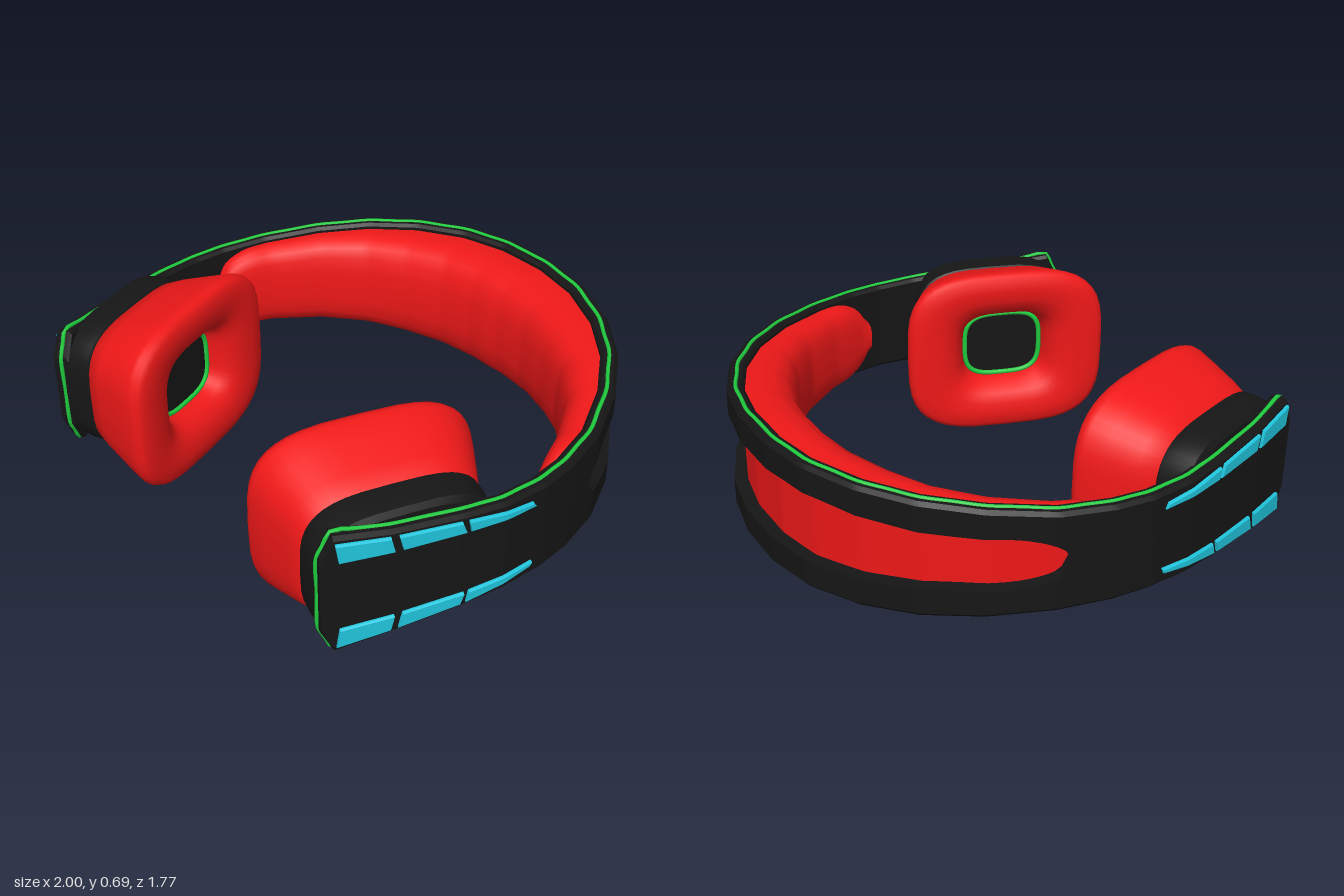
import * as THREE from 'three';
import { toCreasedNormals } from 'three/addons/utils/BufferGeometryUtils.js';

const MID = 0.35; // height of the horizontal symmetry plane

// Half of the headband outline (x, z) from rear centre to front tip, and its half height
const PATH = [[0, -0.885], [0.11, -0.885], [0.31, -0.845], [0.51, -0.75], [0.68, -0.615], [0.82, -0.44], [0.93, -0.23],
  [0.98, -0.04], [0.992, 0.1], [0.978, 0.27], [0.94, 0.42], [0.86, 0.66], [0.785, 0.84], [0.765, 0.882]];
const HALF = [0.255, 0.254, 0.248, 0.238, 0.225, 0.21, 0.193, 0.187, 0.185, 0.189, 0.2, 0.22, 0.245, 0.15];
const PAD_DEPTH = [0.275, 0.275, 0.267, 0.25, 0.215, 0.18, 0.16, 0.135, 0.13];
const LAST = PATH.length - 1;

const NORMALS = PATH.map((p, i) => {
  if (i === 0) return [0, -1];
  const a = PATH[i - 1], b = PATH[Math.min(i + 1, LAST)];
  const dx = b[0] - a[0], dz = b[1] - a[1], l = Math.hypot(dx, dz);
  return [dz / l, -dx / l];
});

const mat = (color) => new THREE.MeshStandardMaterial({ color });
const black = mat(0x161616), red = mat(0xf01818), green = mat(0x20d040), cyan = mat(0x20c8e0);

function sample(table, u) {
  const a = Math.abs(u), i = Math.min(Math.floor(a), table.length - 2);
  return THREE.MathUtils.lerp(table[i], table[i + 1], a - i);
}
const PX = PATH.map((p) => p[0]), PZ = PATH.map((p) => p[1]);
const NX = NORMALS.map((n) => n[0]), NZ = NORMALS.map((n) => n[1]);

// Point on the band: u along it (negative on the right), d outward, y from the mid plane
function onBand(u, d, y) {
  const s = u < 0 ? -1 : 1;
  return new THREE.Vector3(s * (sample(PX, u) + d * sample(NX, u)), MID + y, sample(PZ, u) + d * sample(NZ, u));
}

function range(a, b, step) {
  const n = Math.round((b - a) / step);
  return Array.from({ length: n + 1 }, (_, i) => a + ((b - a) * i) / n);
}

// Closed solid through a row of cross-sections, faces turned outward
function loft(rings, crease) {
  const n = rings[0].length, pts = rings.flat(), index = [];
  for (let r = 0; r < rings.length - 1; r++) {
    for (let i = 0; i < n; i++) {
      const a = r * n + i, b = r * n + ((i + 1) % n);
      index.push(a, b, b + n, a, b + n, a + n);
    }
  }
  [0, rings.length - 1].forEach((r, end) => {
    const c = new THREE.Vector3();
    rings[r].forEach((p) => c.addScaledVector(p, 1 / n));
    pts.push(c);
    for (let i = 0; i < n; i++) {
      const a = r * n + i, b = r * n + ((i + 1) % n);
      index.push(pts.length - 1, ...(end ? [a, b] : [b, a]));
    }
  });
  let volume = 0;
  const cross = new THREE.Vector3();
  for (let i = 0; i < index.length; i += 3) {
    volume += cross.crossVectors(pts[index[i + 1]], pts[index[i + 2]]).dot(pts[index[i]]);
  }
  if (volume < 0) index.reverse();
  const g = new THREE.BufferGeometry().setFromPoints(pts);
  g.setIndex(index);
  return toCreasedNormals(g, crease);
}

function add(group, name, geometry, material) {
  const m = new THREE.Mesh(geometry, material);
  m.name = name;
  group.add(m);
}

// Half height of the long window in the back of the band
function windowHalf(u) {
  const a = Math.abs(u), start = 5.1, end = 6.25;
  if (a >= end) return 0;
  const w = 0.14 - 0.038 * THREE.MathUtils.smoothstep(a, 1.5, 5.3);
  return a < start ? w : w * Math.sqrt(1 - ((a - start) / (end - start)) ** 2);
}

// Rounded-square loop in the tilted plane of an ear cup; n is the position along its axis
const AXIS = [0.944, -0.33], ALONG = [0.33, 0.944], CUP_T = 0.266;
function cupRing(side, a, b, n, count = 40) {
  const pw = (v) => Math.sign(v) * Math.abs(v) ** (2 / 3.4);
  return Array.from({ length: count }, (_, i) => {
    const q = (i / count) * Math.PI * 2;
    const t = CUP_T + a * pw(Math.cos(q)), y = b * pw(Math.sin(q));
    return new THREE.Vector3(-side * (n * AXIS[0] + t * ALONG[0]), MID - 0.002 + y, n * AXIS[1] + t * ALONG[1]);
  });
}
const cupLoft = (side, rows, crease) => loft(rows.map(([a, b, n]) => cupRing(side, a, b, n)), crease);

function earCup(side) {
  const cup = new THREE.Group();
  cup.name = side > 0 ? 'leftEarCup' : 'rightEarCup';
  add(cup, 'housing', cupLoft(side, [[0.29, 0.235, -0.985], [0.315, 0.255, -0.97], [0.325, 0.265, -0.9],
    [0.325, 0.262, -0.86], [0.3, 0.24, -0.84]], 0.6), black);
  // Padded ring with a sunken centre
  add(cup, 'earCushion', cupLoft(side, [[0.29, 0.235, -0.87], [0.315, 0.255, -0.86], [0.345, 0.285, -0.79],
    [0.385, 0.322, -0.68], [0.408, 0.345, -0.61], [0.41, 0.347, -0.59], [0.403, 0.34, -0.569], [0.385, 0.322, -0.557],
    [0.33, 0.28, -0.553], [0.27, 0.235, -0.557], [0.22, 0.192, -0.575], [0.185, 0.162, -0.61],
    [0.168, 0.145, -0.66], [0.165, 0.142, -0.69]], 1.2), red);
  add(cup, 'speakerPlate', cupLoft(side, [[0.17, 0.147, -0.69], [0.17, 0.147, -0.665]], 0.6), black);
  const rim = new THREE.CatmullRomCurve3(cupRing(side, 0.158, 0.136, -0.662), true);
  add(cup, 'speakerRim', new THREE.TubeGeometry(rim, 60, 0.01, 6, true), green);
  return cup;
}

export function createModel() {
  const model = new THREE.Group();
  model.name = 'headphones';

  // Headband: upper and lower halves that part around the rear window
  const band = new THREE.Group();
  band.name = 'headband';
  model.add(band);
  for (const v of [1, -1]) {
    const rings = range(-LAST, LAST, 0.125).map((u) => {
      const h = sample(HALF, u), w = windowHalf(u);
      return [[0, w], [0, h - 0.014], [-0.012, h], [-0.054, h], [-0.065, h - 0.012], [-0.065, w]]
        .map(([d, y]) => onBand(u, d, v * y));
    });
    add(band, v > 0 ? 'upperBand' : 'lowerBand', loft(rings, 0.5), black);
  }

  // Green piping running round the whole edge of the band
  const us = range(-LAST, LAST, 0.5);
  const edge = [
    ...us.map((u) => onBand(u, -0.034, sample(HALF, u))),
    onBand(LAST, -0.034, 0),
    ...us.slice().reverse().map((u) => onBand(u, -0.034, -sample(HALF, u))),
    onBand(-LAST, -0.034, 0),
  ];
  add(band, 'edgePiping', new THREE.TubeGeometry(new THREE.CatmullRomCurve3(edge, true), 320, 0.008, 6, true), green);

  // Head pad: rounded cushion inside the band, also seen through the window
  const half = [[0, 0.96], [0.35, 1], [0.6, 0.96], [0.8, 0.85], [0.93, 0.65], [0.985, 0.35]];
  const profile = [...half, [1, 0], ...half.slice().reverse().map(([d, y]) => [d, -y])];
  const END = 7.33;
  const padRings = range(-END, END, END / 64).map((u) => {
    const k = Math.max(0, (Math.abs(u) - 6.3) / (END - 6.3));
    const h = (sample(HALF, u) - 0.017) * Math.max(0.4, Math.sqrt(1 - k * k));
    const depth = sample(PAD_DEPTH, u) - 0.05;
    return profile.map(([d, y]) => onBand(u, -0.05 - d * depth, h * y));
  });
  add(model, 'headPad', loft(padRings, 0.9), red);

  // Light strips: three slanted panels in two rows on each side
  for (const side of [1, -1]) {
    for (const v of [1, -1]) {
      [[8.35, 9.93], [10.05, 10.92], [11.04, 11.98]].forEach(([a, b], i) => {
        const rings = range(a, b, 0.16).map((u) => {
          const k = (u - 8.35) / 3.63;
          const top = 0.142 + 0.078 * k, low = 0.118 + 0.022 * k;
          return [[-0.01, low], [0.006, low], [0.011, low + 0.006], [0.011, top - 0.006], [0.006, top], [-0.01, top]]
            .map(([d, y]) => onBand(side * (u - (y === low || y === low + 0.006 ? 0.06 : 0)), d, v * y));
        });
        add(band, `lightPanel${i + 1}`, loft(rings, 0.5), cyan);
      });
    }
    model.add(earCup(side));
  }
  return model;
}
